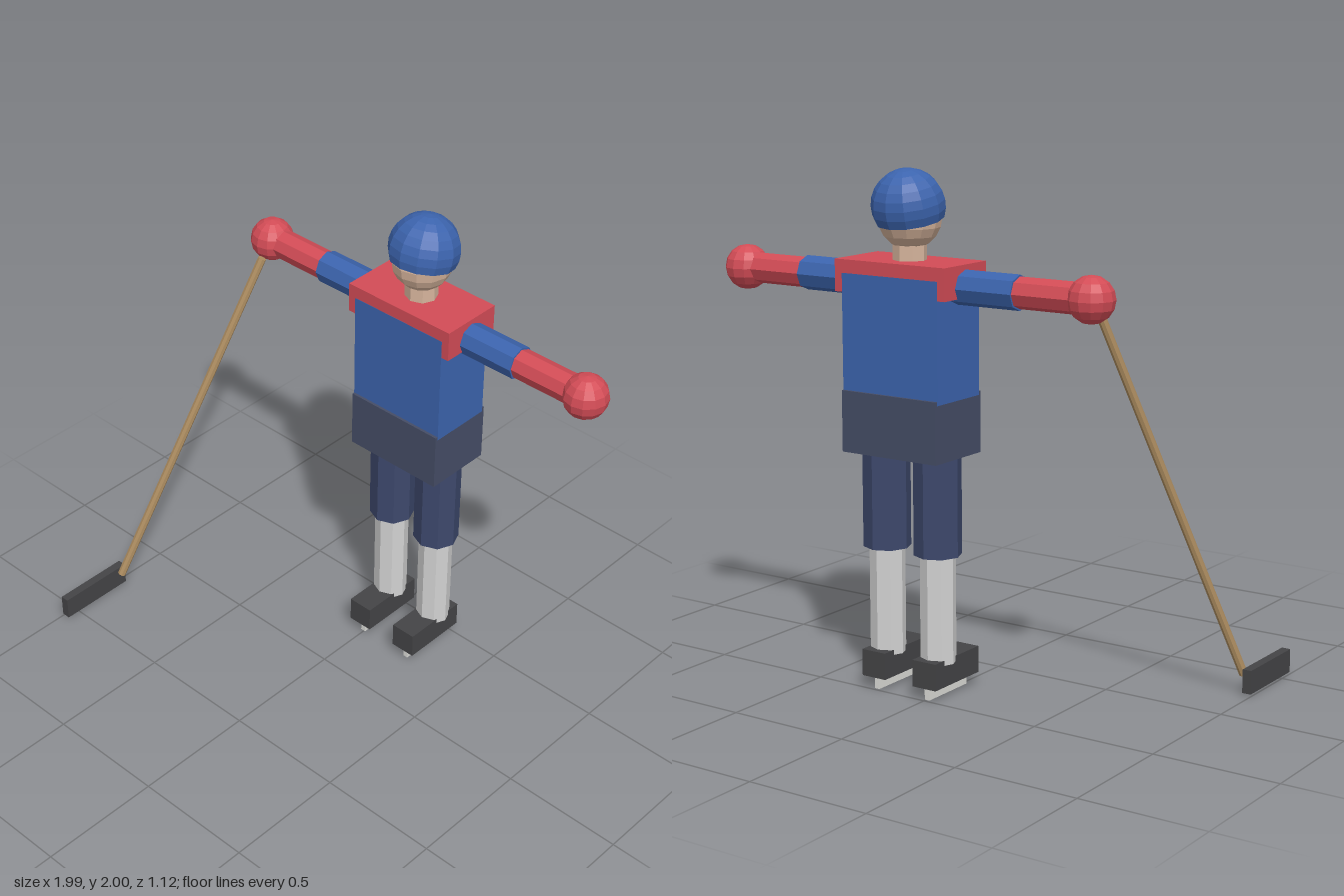
import * as THREE from 'three';

const mat = (name, color) => {
  const m = new THREE.MeshStandardMaterial({ color, flatShading: true });
  m.name = name;
  return m;
};

export function createModel() {
  const red = mat('red', 0xd34c56);
  const blue = mat('blue', 0x3c64ae);
  const slate = mat('slate shorts', 0x454d66);
  const navy = mat('navy', 0x3d486c);
  const white = mat('sock white', 0xd2d2d2);
  const steel = mat('blade steel', 0xdcdcd8);
  const black = mat('black', 0x444446);
  const wood = mat('wood', 0xb08f62);
  const skin = mat('skin', 0xd6b49c);
  const helmetBlue = blue.clone();
  helmetBlue.name = 'helmet blue';
  helmetBlue.side = THREE.DoubleSide;

  const model = new THREE.Group();
  model.name = 'hockeyPlayer';
  const player = new THREE.Group();
  player.name = 'player';
  player.position.set(0.114, 0, -0.411);
  model.add(player);

  const add = (parent, name, geometry, material, x, y, z) => {
    const mesh = new THREE.Mesh(geometry, material);
    mesh.name = name;
    mesh.position.set(x, y, z);
    parent.add(mesh);
    return mesh;
  };
  const box = (w, h, d) => new THREE.BoxGeometry(w, h, d);
  const rod = (r, h) => new THREE.CylinderGeometry(r, r, h, 8);

  // Torso
  add(player, 'shorts', box(0.432, 0.235, 0.286), slate, 0, 1.0525, 0);
  add(player, 'jersey', box(0.434, 0.455, 0.264), blue, 0, 1.3825, 0);
  add(player, 'shoulderYoke', box(0.5, 0.122, 0.262), red, 0, 1.6, 0);

  // Head
  add(player, 'neck', rod(0.064, 0.12), skin, 0, 1.68, 0);
  add(player, 'head', new THREE.SphereGeometry(0.121, 12, 10), skin, 0, 1.82, 0);
  const shell = new THREE.SphereGeometry(0.139, 12, 8, 0, Math.PI * 2, 0, Math.PI * 0.63);
  add(player, 'helmet', shell, helmetBlue, 0, 1.861, -0.008).rotation.x = -0.2;

  // Arms and legs, mirrored
  for (const [side, s] of [['left', 1], ['right', -1]]) {
    const arm = new THREE.Group();
    arm.name = side + 'Arm';
    player.add(arm);
    add(arm, 'sleeve', rod(0.066, 0.3), blue, s * 0.338, 1.577, 0).rotation.z = Math.PI / 2;
    add(arm, 'cuff', rod(0.059, 0.3), red, s * 0.638, 1.577, 0).rotation.z = Math.PI / 2;
    add(arm, 'glove', new THREE.SphereGeometry(0.088, 12, 8), red, s * 0.788, 1.577, 0);

    const leg = new THREE.Group();
    leg.name = side + 'Leg';
    leg.position.x = s * 0.119;
    player.add(leg);
    add(leg, 'thigh', rod(0.092, 0.39), navy, 0, 0.75, 0);
    add(leg, 'sock', rod(0.069, 0.43), white, 0, 0.35, 0);
    add(leg, 'boot', box(0.108, 0.105, 0.282), black, 0, 0.1025, 0.046);
    add(leg, 'skateBlade', box(0.022, 0.052, 0.242), steel, 0, 0.026, 0.046);
  }

  // Stick running from the right glove down to its blade
  const stick = new THREE.Group();
  stick.name = 'stick';
  model.add(stick);
  const top = new THREE.Vector3(-0.653, 1.53, -0.33);
  const foot = new THREE.Vector3(-0.953, 0.075, 0.265);
  const axis = top.clone().sub(foot);
  const mid = top.clone().add(foot).multiplyScalar(0.5);
  const shaft = add(stick, 'shaft', rod(0.017, axis.length()), wood, mid.x, mid.y, mid.z);
  shaft.quaternion.setFromUnitVectors(new THREE.Vector3(0, 1, 0), axis.normalize());
  add(stick, 'stickBlade', box(0.036, 0.094, 0.328), black, -0.982, 0.056, 0.4);

  return model;
}
